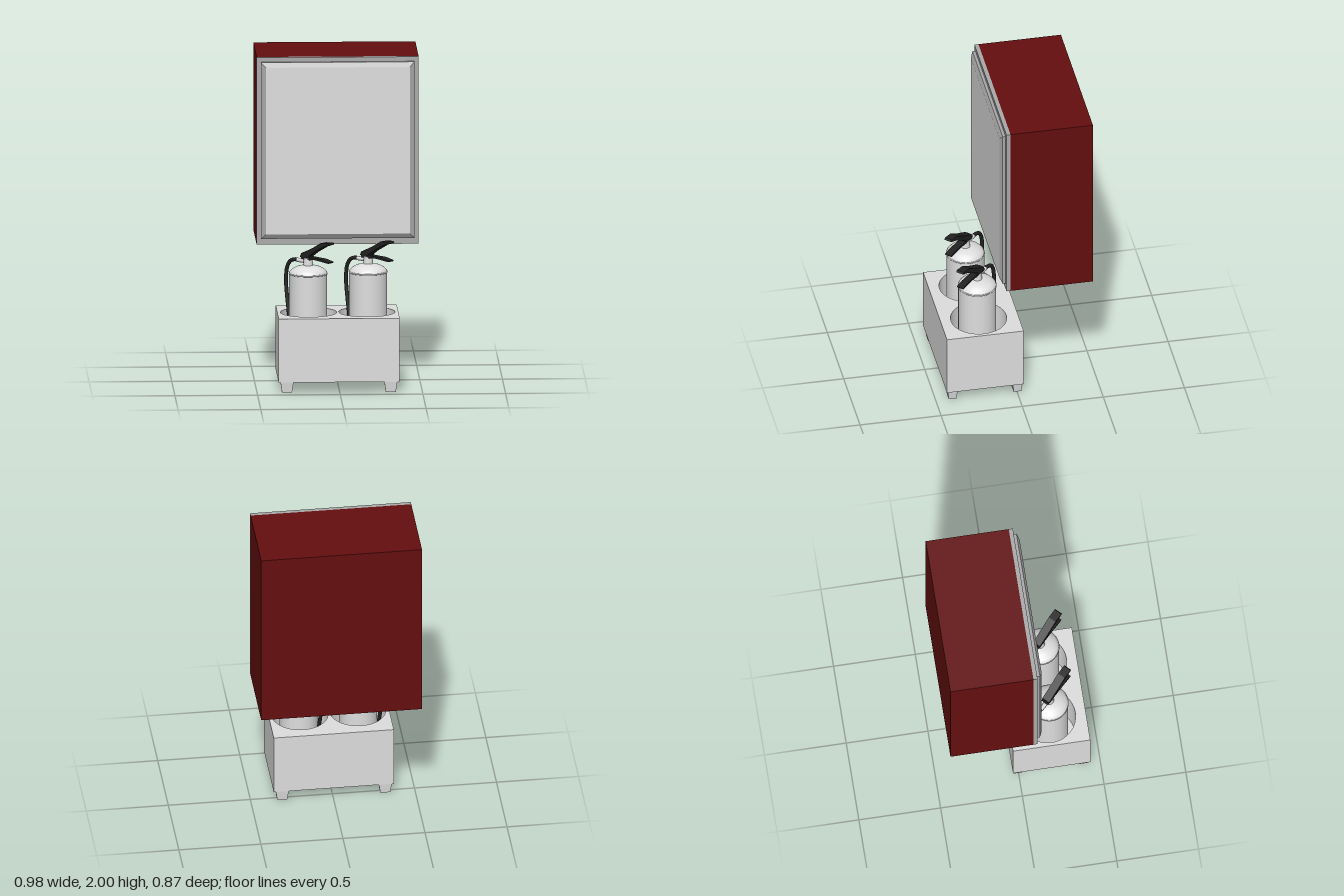
import * as THREE from 'three';

const mat = (name, color, side = THREE.FrontSide) => {
  const m = new THREE.MeshStandardMaterial({ color, side });
  m.name = name;
  return m;
};

export function createModel() {
  const model = new THREE.Group();
  model.name = 'fireStation';
  const red = mat('dark red', 0x640e0e);
  const light = mat('light grey', 0xdedede);
  const trim = mat('trim grey', 0xaaaaaa);
  const black = mat('black', 0x222222);

  const add = (parent, name, geometry, material, x = 0, y = 0, z = 0) => {
    const mesh = new THREE.Mesh(geometry, material);
    mesh.name = name;
    mesh.position.set(x, y, z);
    parent.add(mesh);
    return mesh;
  };
  const rect = (x0, y0, x1, y1) => new THREE.Shape([
    new THREE.Vector2(x0, y0), new THREE.Vector2(x1, y0),
    new THREE.Vector2(x1, y1), new THREE.Vector2(x0, y1),
  ]);

  // Wall cabinet: shell, front frame and bevelled door
  const cabinet = new THREE.Group();
  cabinet.name = 'cabinet';
  model.add(cabinet);
  add(cabinet, 'cabinetShell', new THREE.BoxGeometry(0.98, 1.148, 0.508), red, 0, 1.426, -0.184);
  add(cabinet, 'cabinetFrame', new THREE.BoxGeometry(0.98, 1.148, 0.025), trim, 0, 1.426, 0.0825);
  const door = new THREE.ExtrudeGeometry(rect(-0.435, 0.92, 0.435, 1.943), {
    depth: 0.031, bevelSize: 0.029, bevelThickness: 0.015, bevelSegments: 1,
  });
  add(cabinet, 'cabinetDoor', door, [light, trim], 0, 0, 0.082);

  // Stand: block with two round wells, closed floor and four tapered feet
  const stand = new THREE.Group();
  stand.name = 'stand';
  model.add(stand);
  const block = rect(-0.37, -0.436, 0.362, 0.037);
  for (const x of [-0.18, 0.172]) {
    block.holes.push(new THREE.Path().absarc(x, -0.203, 0.17, 0, Math.PI * 2, true));
  }
  const blockGeo = new THREE.ExtrudeGeometry(block, { depth: 0.355, bevelEnabled: false, curveSegments: 32 });
  blockGeo.rotateX(-Math.PI / 2);
  add(stand, 'standBlock', blockGeo, light, 0, 0.1, 0);
  add(stand, 'standFloor', new THREE.BoxGeometry(0.732, 0.037, 0.473), light, -0.004, 0.0835, 0.1995);
  for (const x of [-0.319, 0.309]) {
    for (const z of [0.397, -0.003]) {
      const foot = new THREE.CylinderGeometry(Math.SQRT1_2, 0.53, 0.068, 4).toNonIndexed();
      foot.rotateY(Math.PI / 4);
      foot.scale(0.08, 1, 0.062);
      foot.computeVertexNormals();
      add(stand, 'foot', foot, light, x, 0.034, z);
    }
  }

  // Flat part drawn in side profile (forward, up), given a width across
  const lever = (points, width) => {
    const g = new THREE.ExtrudeGeometry(
      new THREE.Shape(points.map(([a, b]) => new THREE.Vector2(a, b))),
      { depth: width, bevelEnabled: false });
    g.translate(0, 0, -width / 2);
    return g.rotateY(-Math.PI / 2);
  };

  const extinguisher = (x, y) => {
    const g = new THREE.Group();
    g.name = 'extinguisher';
    g.position.set(x, y, 0.213);
    g.rotation.y = Math.PI / 4;
    model.add(g);

    // Tank wall, shoulder bead, dome and valve neck
    add(g, 'tank', new THREE.CylinderGeometry(0.115, 0.115, 0.595, 40, 1), light, 0, 0.3975, 0);
    const bead = new THREE.TorusGeometry(0.113, 0.005, 8, 40).rotateX(Math.PI / 2);
    add(g, 'shoulderBead', bead, light, 0, 0.695, 0);
    const dome = [[0.115, 0.695], [0.112, 0.707], [0.098, 0.722], [0.072, 0.736], [0.04, 0.745], [0, 0.748]];
    add(g, 'dome', new THREE.LatheGeometry(dome.map(([r, h]) => new THREE.Vector2(r, h)), 40), light);
    add(g, 'neck', new THREE.CylinderGeometry(0.026, 0.03, 0.05, 20), light, 0, 0.765, 0);

    // Valve head with squeeze lever and carrying handle
    add(g, 'valveHead', new THREE.BoxGeometry(0.034, 0.035, 0.07), black, 0, 0.798, -0.005);
    add(g, 'squeezeLever', lever([[-0.045, 0.795], [0.01, 0.795], [0.06, 0.83], [0.14, 0.875],
      [0.192, 0.892], [0.185, 0.903], [0.125, 0.898], [0.05, 0.856], [-0.035, 0.818]], 0.05), black);
    add(g, 'carryHandle', lever([[-0.04, 0.785], [0.08, 0.787], [0.185, 0.778],
      [0.19, 0.786], [0.13, 0.798], [-0.04, 0.802]], 0.044), black);

    // Outlet fitting and hanging hose
    const outlet = new THREE.CylinderGeometry(0.013, 0.013, 0.07, 16).rotateX(Math.PI / 2);
    add(g, 'outlet', outlet, light, 0, 0.768, -0.05);
    const path = new THREE.CatmullRomCurve3([
      [0.768, -0.07], [0.768, -0.115], [0.752, -0.15], [0.71, -0.175], [0.62, -0.182],
      [0.52, -0.172], [0.42, -0.158], [0.32, -0.15],
    ].map(([h, d]) => new THREE.Vector3(0, h, d)));
    add(g, 'hose', new THREE.TubeGeometry(path, 40, 0.012, 10), black);
    add(g, 'hoseNozzle', new THREE.CylinderGeometry(0.013, 0.017, 0.08, 12), black, 0, 0.29, -0.149);
  };
  extinguisher(-0.183, 0);
  extinguisher(0.18, 0.008);

  return model;
}
